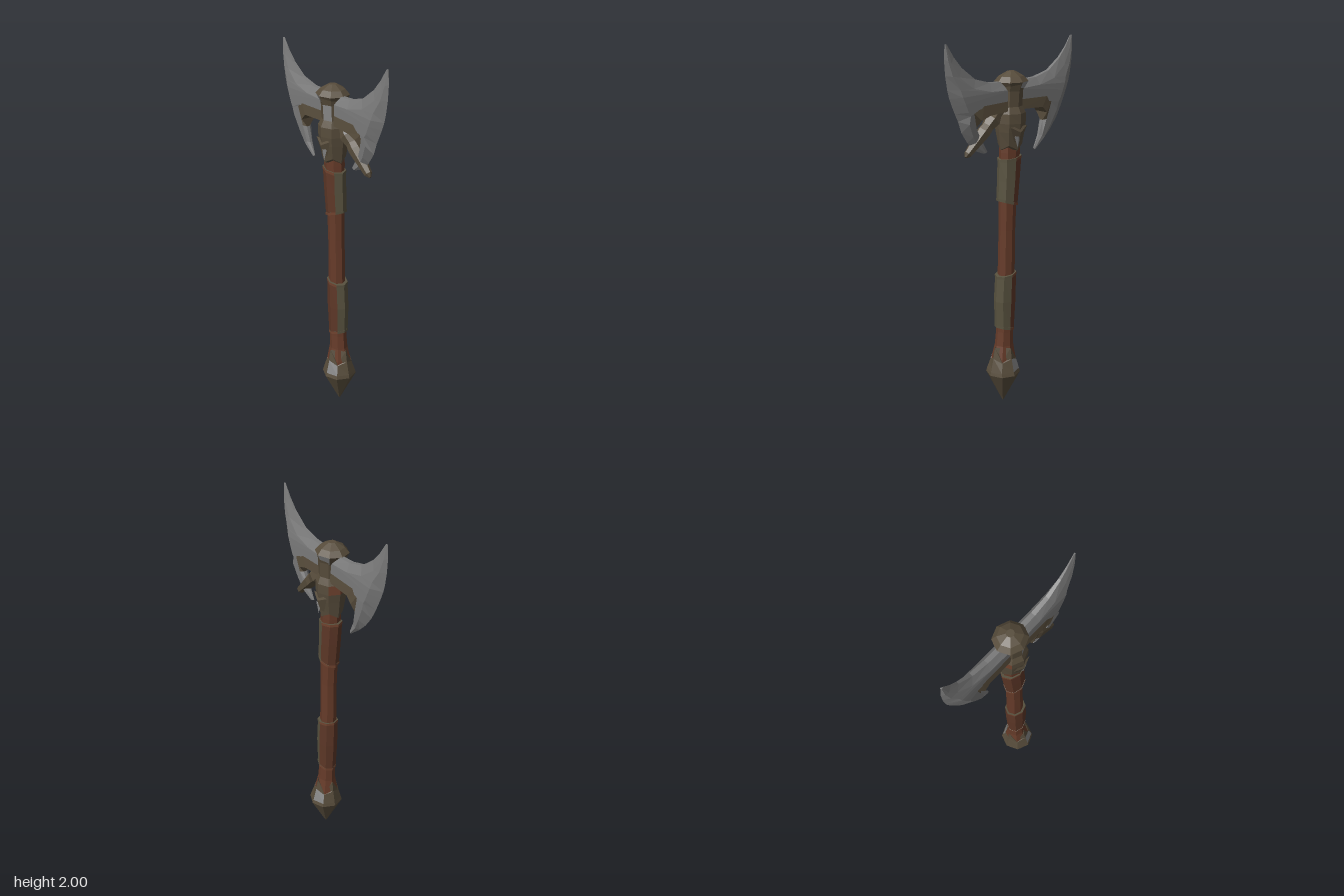
import * as THREE from 'three';

const mat = (name, color) => Object.assign(new THREE.MeshStandardMaterial({ color, flatShading: true }), { name });
const M = {
  steel: mat('steel', 0x7a7a7a),
  worn: mat('wornSteel', 0x868686),
  bronze: mat('darkBronze', 0x574c3b),
  wood: mat('wood', 0x663b29),
  leather: mat('leather', 0x5d3727),
  patina: mat('greyLeather', 0x58523f),
  trim: mat('strapTrim', 0x6f422e),
};

// One mesh from triangles [a, b, c, material], grouped by material
function meshFrom(name, tris) {
  const mats = [...new Set(tris.map(t => t[3]))];
  const pos = [];
  const g = new THREE.BufferGeometry();
  mats.forEach((m, k) => {
    const start = pos.length / 3;
    for (const t of tris) if (t[3] === m) pos.push(...t[0], ...t[1], ...t[2]);
    g.addGroup(start, pos.length / 3 - start, k);
  });
  g.setAttribute('position', new THREE.Float32BufferAttribute(pos, 3));
  g.computeVertexNormals();
  const mesh = new THREE.Mesh(g, mats);
  mesh.name = name;
  return mesh;
}

// Skin consecutive rings of points and close both ends
function skin(name, rings, pick) {
  const tris = [], n = rings[0].length, last = rings.length - 1;
  for (let j = 0; j < last; j++) {
    for (let i = 0; i < n; i++) {
      const k = (i + 1) % n, m = pick(i, j);
      tris.push([rings[j][i], rings[j + 1][i], rings[j + 1][k], m], [rings[j][i], rings[j + 1][k], rings[j][k], m]);
    }
  }
  for (let i = 1; i < n - 1; i++) {
    tris.push([rings[0][0], rings[0][i], rings[0][i + 1], pick(0, 0)]);
    tris.push([rings[last][0], rings[last][i + 1], rings[last][i], pick(0, last - 1)]);
  }
  return meshFrom(name, tris);
}

// Upright faceted loft; section = [y, centreX, radiusX, radiusZ, slant, zigzag]
function loft(name, sections, sides, material, pick = () => material) {
  const rings = sections.map(([y, cx, rx, rz = rx, slant = 0, zig = 0]) =>
    Array.from({ length: sides }, (_, i) => {
      const a = (i / sides) * Math.PI * 2;
      return [cx + rx * Math.cos(a), y + slant * Math.cos(a) + (i % 2 ? 0 : zig), rz * Math.sin(a)];
    }));
  return skin(name, rings, pick);
}

// Blade stations from upper to lower horn: edge x,y, inner ridge x,y, inner rim x,y
const upper = [
  [.437, 1.985, .432, 1.985, .425, 1.985],
  [.443, 1.92, .405, 1.9, .385, 1.925],
  [.438, 1.846, .365, 1.835, .34, 1.875],
  [.427, 1.78, .28, 1.775, .257, 1.815],
  [.416, 1.74, .17, 1.75, .16, 1.79],
  [.4, 1.7, .03, 1.745, .03, 1.783],
  [.382, 1.66, .03, 1.69, .03, 1.64],
  [.363, 1.62, .22, 1.685, .183, 1.633],
];
const lowerRight = [
  [.33, 1.56, .258, 1.66, .215, 1.6],
  [.284, 1.5, .228, 1.56, .215, 1.555],
  [.235, 1.453, .205, 1.475, .19, 1.475],
  [.167, 1.4, .162, 1.405, .157, 1.41],
];
const lowerLeft = [
  [.342, 1.56, .285, 1.655, .243, 1.615],
  [.305, 1.505, .264, 1.575, .252, 1.575],
  [.262, 1.46, .232, 1.495, .215, 1.505],
  [.2, 1.434, .185, 1.437, .172, 1.44],
];
const thick = [.004, .012, .02, .03, .035, .036, .036, .036, .034, .026, .018, .006];

// Ring order: edge, bevel, ridge, rim, then back along the other face
function blade(name, stations, side, lift) {
  const rings = stations.map(([ox, oy, rx, ry, ix, iy], s) => {
    const f = Math.min(.06 / Math.hypot(ox - rx, oy - ry), .45);
    const z = -side * thick[s], iz = s > 5 && s < 9 ? -side * .042 : z * .35;
    const P = (x, y, w) => [side * x, y + lift * Math.max(0, (y - 1.75) / .235), w];
    const bx = ox + (rx - ox) * f, by = oy + (ry - oy) * f;
    return [P(ox, oy, 0), P(bx, by, z), P(rx, ry, z), P(ix, iy, iz), P(ix, iy, -iz), P(rx, ry, -z), P(bx, by, -z)];
  });
  return skin(name, rings, (i, j) => {
    const rim = i >= 2 && i <= 4;
    if (rim && j >= 6 && j <= 8) return M.bronze;
    return j === 10 && !rim ? M.worn : M.steel;
  });
}

export function createModel() {
  const axe = new THREE.Group();
  axe.name = 'doubleAxe';

  // Slightly bowed wooden haft, flared into the pommel
  axe.add(loft('haft', [
    [.2, .065, .078, .074], [.27, .064, .068, .062], [.34, .06, .054, .047], [.42, .055, .05, .044], [.75, .043, .049, .043],
    [1, .037, .047, .042], [1.2, .03, .051, .044], [1.42, .018, .06, .05], [1.7, .012, .055, .05],
  ], 8, M.wood));

  // Leather wraps with a grey outer side and slanted edge straps
  const wraps = [
    ['upperWrap', [[1.15, .036, .06, .051, .02], [1.27, .026, .066, .053, 0], [1.385, .018, .071, .053, -.008]]],
    ['lowerWrap', [[.44, .058, .055, .049, .016], [.6, .054, .064, .053, 0], [.745, .047, .061, .052, -.008]]],
  ];
  for (const [name, sections] of wraps) {
    const isGrey = i => i >= 6 || i === 0;
    axe.add(loft(name, sections, 8, M.leather, i => (isGrey(i) ? M.patina : M.leather)));
    for (const [y, cx, rx, rz, slant] of [sections[0], sections[2]])
      axe.add(loft(name + 'Strap', [[y - .007, cx, rx + .002, rz + .002, slant], [y + .007, cx, rx + .002, rz + .002, slant]],
        8, M.trim, i => (isGrey(i) ? M.patina : M.trim)));
  }

  // Pointed pommel with a toothed collar
  axe.add(loft('pommel', [
    [0, .07, .004], [.175, .068, .094, .094], [.195, .068, .09, .088], [.25, .066, .073, .069, 0, .02], [.258, .064, .063, .058, 0, .075],
  ], 8, M.bronze, (i, j) => (j === 2 && (i === 1 || i === 5) ? M.worn : M.bronze)));

  // Socket that holds the blades
  axe.add(loft('socket', [
    [1.46, .014, .066, .06, 0, -.025], [1.53, .014, .077, .074], [1.575, .013, .082, .08], [1.625, .012, .081, .08],
    [1.66, .014, .064, .064], [1.74, .012, .064, .068], [1.78, .008, .078, .08],
  ], 8, M.bronze, (i, j) => (j === 2 && (i === 3 || i === 4) ? M.trim : j === 4 && i === 1 ? M.worn : M.bronze)));

  // Faceted dome cap
  axe.add(loft('cap', [
    [1.735, .006, .06, .06], [1.785, .004, .091, .085], [1.812, .004, .066, .062], [1.836, .004, .022, .02],
  ], 8, M.bronze, (i, j) => (j === 0 && (i === 2 || i === 5) ? M.worn : M.bronze)));

  // Pointed tongues on the front and back of the socket
  for (const s of [1, -1]) {
    const A = [-.045, 1.56, s * .066], B = [.07, 1.56, s * .066], C = [.014, 1.42, s * .05], D = [.014, 1.53, s * .083];
    const faces = [[A, C, D, M.bronze], [C, B, D, M.bronze], [B, A, D, M.bronze]];
    axe.add(meshFrom('socketTongue', s > 0 ? faces : faces.map(([a, b, c, m]) => [a, c, b, m])));
    // Worn chip near the point
    const chip = new THREE.Mesh(new THREE.ConeGeometry(.022, .06, 4), M.worn);
    chip.name = 'wornChip';
    chip.scale.z = .35;
    chip.rotation.z = Math.PI;
    chip.position.set(.024, 1.48, s * .069);
    axe.add(chip);
  }

  // Crescent blades
  axe.add(blade('rightBlade', [...upper, ...lowerRight], -1, 0));
  axe.add(blade('leftBlade', [...upper, ...lowerLeft], 1, .015));

  // Slanted side spike
  const spike = loft('sideSpike', [
    [0, 0, .028], [.05, 0, .029], [.09, 0, .045, .044], [.135, 0, .033], [.17, 0, .037], [.315, 0, .021, .02], [.335, 0, .006],
  ], 6, M.bronze, (i, j) => (j === 1 && i === 2 ? M.worn : M.bronze));
  spike.position.set(.07, 1.66, 0);
  spike.rotation.z = -2.313;
  axe.add(spike);

  return axe;
}
